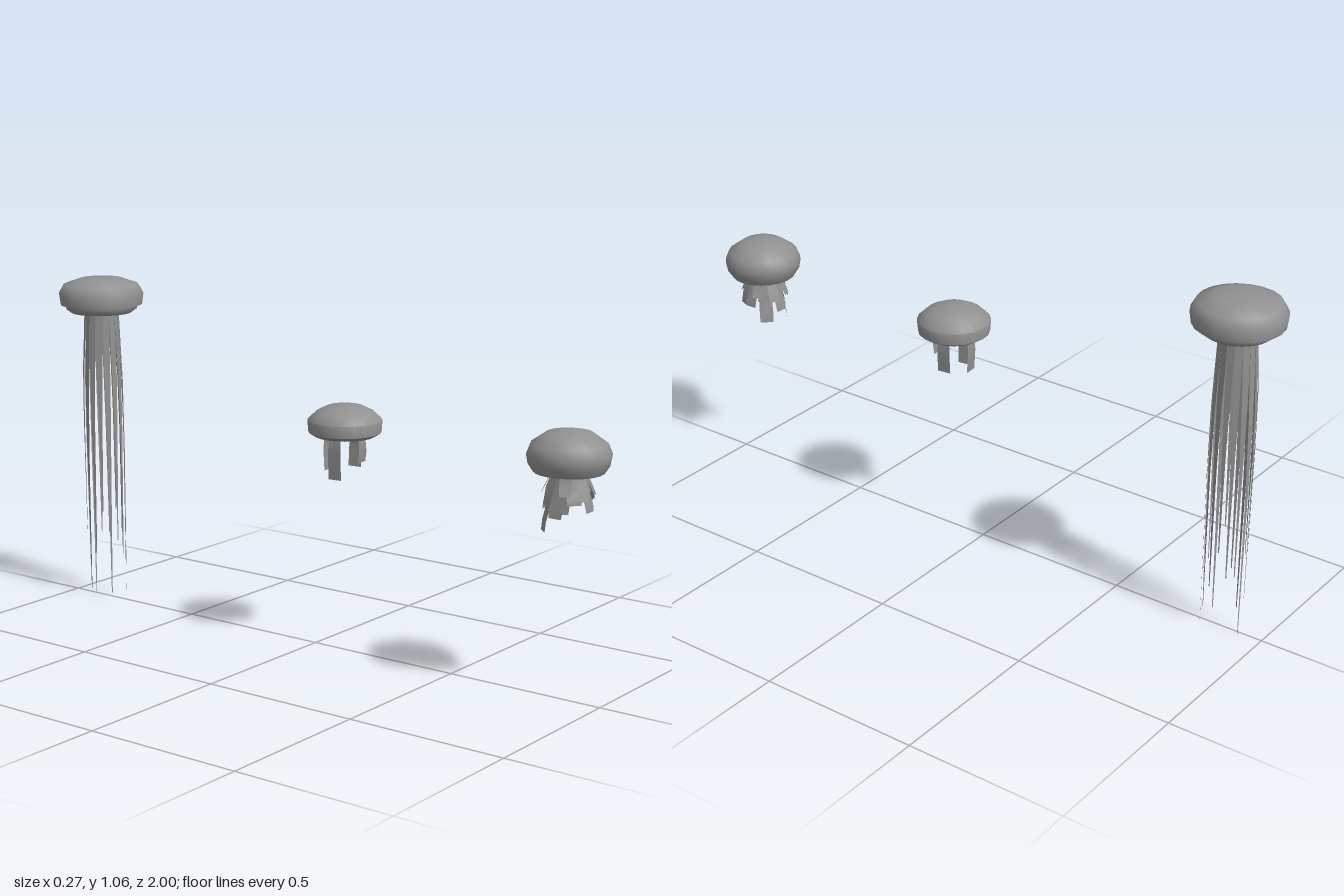
import * as THREE from 'three';
import { toCreasedNormals } from 'three/addons/utils/BufferGeometryUtils.js';

const bellMaterial = new THREE.MeshStandardMaterial({ color: 0x919191 });
const ribbonMaterial = new THREE.MeshStandardMaterial({ color: 0x919191, side: THREE.DoubleSide });

// Bell: profile of [radius, y] running from the hollow underside round the rim to the crown
function bell(profile) {
  const lathe = new THREE.LatheGeometry(profile.map(([r, y]) => new THREE.Vector2(r, y)), 20);
  const mesh = new THREE.Mesh(toCreasedNormals(lathe, 0.9), bellMaterial);
  mesh.name = 'bell';
  return mesh;
}

// Flat tentacle: rows of [distance from axis, y, width], turned to its angle round the axis
function ribbon(rows, angle) {
  const positions = [], index = [];
  rows.forEach(([r, y, w], i) => {
    positions.push(-w / 2, y, r, w / 2, y, r);
    if (i > 0) {
      const a = 2 * i - 2;
      index.push(a, a + 2, a + 1, a + 1, a + 2, a + 3);
    }
  });
  const geometry = new THREE.BufferGeometry();
  geometry.setAttribute('position', new THREE.Float32BufferAttribute(positions, 3));
  geometry.setIndex(index);
  geometry.computeVertexNormals();
  const mesh = new THREE.Mesh(geometry, ribbonMaterial);
  mesh.name = 'tentacle';
  mesh.rotation.y = angle;
  return mesh;
}

// Ring of tentacles, one for each tip height
function ring(name, tips, firstAngle, rowsFor) {
  const group = new THREE.Group();
  group.name = name;
  tips.forEach((tip, i) => {
    group.add(ribbon(rowsFor(tip), firstAngle + (i / tips.length) * Math.PI * 2));
  });
  return group;
}

// One jellyfish: a bell and its rings of tentacles
function jellyfish(name, z, profile, ...rings) {
  const group = new THREE.Group();
  group.name = name;
  group.position.z = z;
  group.add(bell(profile), ...rings);
  return group;
}

export function createModel() {
  const model = new THREE.Group();
  model.name = 'jellyfishGroup';

  // Front jellyfish: domed bell, long arms with short flaring frills between them
  model.add(jellyfish('frilledJellyfish', 0.88,
    [[0, 0.69], [0.045, 0.685], [0.055, 0.668], [0.075, 0.66], [0.1, 0.662], [0.115, 0.685],
      [0.12, 0.712], [0.108, 0.742], [0.066, 0.772], [0.03, 0.78], [0, 0.784]],
    ring('arms', [0.555, 0.585, 0.57, 0.52, 0.55, 0.495, 0.54, 0.58], 0, (tip) => {
      const at = (t) => 0.69 + (tip - 0.69) * t;
      return [[0.043, 0.69, 0.034], [0.048, at(0.35), 0.038], [0.058, at(0.6), 0.05],
        [0.056, at(0.62), 0.04], [0.067, at(0.85), 0.044], [0.07, tip, 0.04]];
    }),
    ring('frills', [0.6, 0.575, 0.605, 0.59, 0.6, 0.575, 0.605, 0.59], Math.PI / 8, (tip) => [
      [0.045, 0.69, 0.03], [0.052, 0.65, 0.034], [0.064, 0.625, 0.036], [0.075, tip, 0.03]])));

  // Middle jellyfish: small bell, four straight ribbons
  model.add(jellyfish('smallJellyfish', 0.11,
    [[0, 0.69], [0.045, 0.686], [0.055, 0.672], [0.07, 0.665], [0.09, 0.665], [0.109, 0.677],
      [0.112, 0.714], [0.087, 0.738], [0.055, 0.754], [0, 0.762]],
    ring('ribbons', [0.59, 0.56, 0.555, 0.54], 0.1, (tip) => [
      [0.052, 0.69, 0.036], [0.06, 0.65, 0.04], [0.062, 0.62, 0.043], [0.058, tip, 0.043]])));

  // Back jellyfish: flat bell with a stepped rim, long tapering tentacles
  const tips = [0.15, 0.02, 0.08, 0.16, 0.28, 0.2, 0.2, 0, 0.11, 0.25, 0.23, 0.035, 0.16, 0.3, 0.025, 0.2];
  model.add(jellyfish('longJellyfish', -0.865,
    [[0, 0.965], [0.06, 0.96], [0.075, 0.947], [0.097, 0.947], [0.114, 0.96], [0.115, 0.972],
      [0.131, 0.973], [0.136, 1.008], [0.12, 1.037], [0.07, 1.055], [0, 1.057]],
    ring('longTentacles', tips, Math.PI / 16, (tip) => {
      const at = (t) => 0.97 + (tip - 0.97) * t;
      return [[0.053, 0.97, 0.021], [0.057, at(0.12), 0.021], [0.063, at(0.28), 0.018],
        [0.065, at(0.5), 0.012], [0.064, at(0.75), 0.007], [0.063, tip, 0.003]];
    })));

  return model;
}
